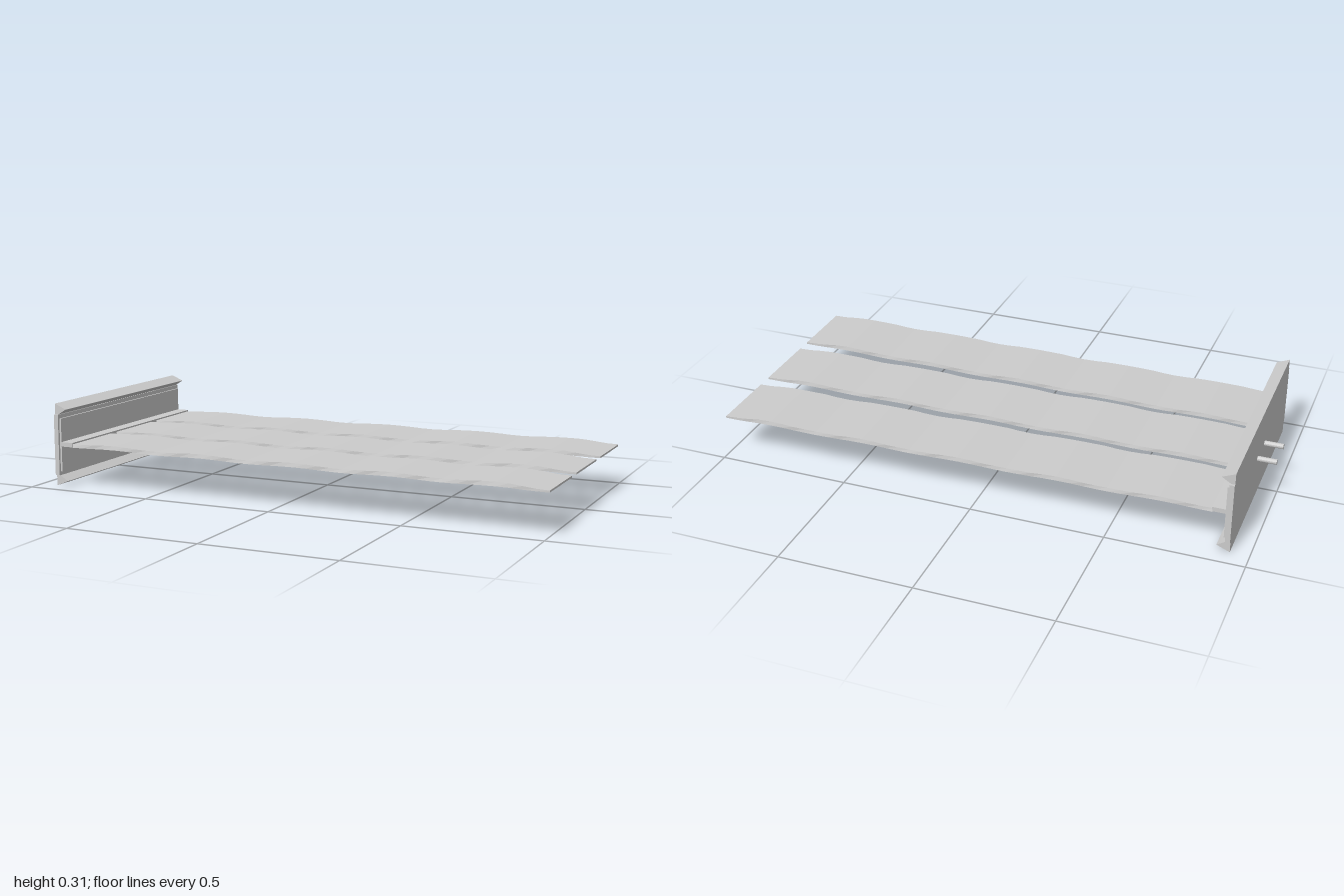
import * as THREE from 'three';

const material = new THREE.MeshStandardMaterial({ color: 0xcccccc, flatShading: true });

function add(parent, name, geometry, x = 0, y = 0, z = 0) {
  const mesh = new THREE.Mesh(geometry, material);
  mesh.name = name;
  mesh.position.set(x, y, z);
  parent.add(mesh);
  return mesh;
}

// Profile in x and y, extruded along z about the centre
function prism(points, width) {
  const shape = new THREE.Shape(points.map(([x, y]) => new THREE.Vector2(x, y)));
  const geometry = new THREE.ExtrudeGeometry(shape, { depth: width, bevelEnabled: false });
  return geometry.translate(0, 0, -width / 2);
}

// Long thin board, gently wavy, splayed sideways and thinned at its free end
function slatGeometry(splay) {
  const length = 1.86, x0 = -0.86;
  const geometry = new THREE.BoxGeometry(length, 1, 0.264, 40, 1, 1);
  const p = geometry.attributes.position;
  for (let i = 0; i < p.count; i++) {
    const x = p.getX(i) + x0 + length / 2;
    const top = p.getY(i) > 0;
    const t = (x - x0) / length;
    const wave = Math.sin(((x + 0.77) / 0.186) * Math.PI);
    const tip = THREE.MathUtils.smoothstep(x, 0.86, 1);
    const high = THREE.MathUtils.lerp(0.166 + 0.003 * wave, 0.157, tip);
    const low = THREE.MathUtils.lerp(0.152 + 0.002 * wave, 0.15, tip);
    // the upper edges draw in slightly along each wave
    const inset = top ? 1 - 0.025 * Math.abs(wave) * (1 - tip) : 1;
    p.setXYZ(i, x, top ? high : low, p.getZ(i) * inset + splay * t);
  }
  geometry.computeVertexNormals();
  return geometry;
}

export function createModel() {
  const model = new THREE.Group();
  model.name = 'slattedPanel';

  // End plate with pointed lips along its upper and lower edges
  const half = [[-0.93, 0.314], [-0.882, 0.294], [-0.916, 0.273], [-0.922, 0.258], [-0.905, 0.258]];
  const mirrored = half.map(([x, y]) => [x, 0.314 - y]).reverse();
  add(model, 'endPlate', prism([...mirrored, ...half], 0.868));
  add(model, 'plateFace', new THREE.BoxGeometry(0.018, 0.232, 0.886), -0.921, 0.157, 0);

  // Bar joining the plate to the slats
  add(model, 'crossbar', new THREE.BoxGeometry(0.05, 0.017, 0.868), -0.882, 0.16, 0);

  // Three slats, the outer two splaying outwards
  const slats = new THREE.Group();
  slats.name = 'slats';
  model.add(slats);
  for (const [name, z, splay] of [['leftwardSlat', 0.299, 0.022], ['middleSlat', -0.002, 0], ['rearSlat', -0.304, -0.022]]) {
    add(slats, name === 'leftwardSlat' ? 'frontSlat' : name, slatGeometry(splay), 0, 0, z);
  }

  // Two locating pegs on the outside of the plate
  for (const z of [-0.06, 0.054]) {
    const peg = new THREE.CylinderGeometry(0.01, 0.01, 0.08, 16).rotateZ(Math.PI / 2);
    add(model, 'peg', peg, -0.96, 0.16, z);
  }

  return model;
}
